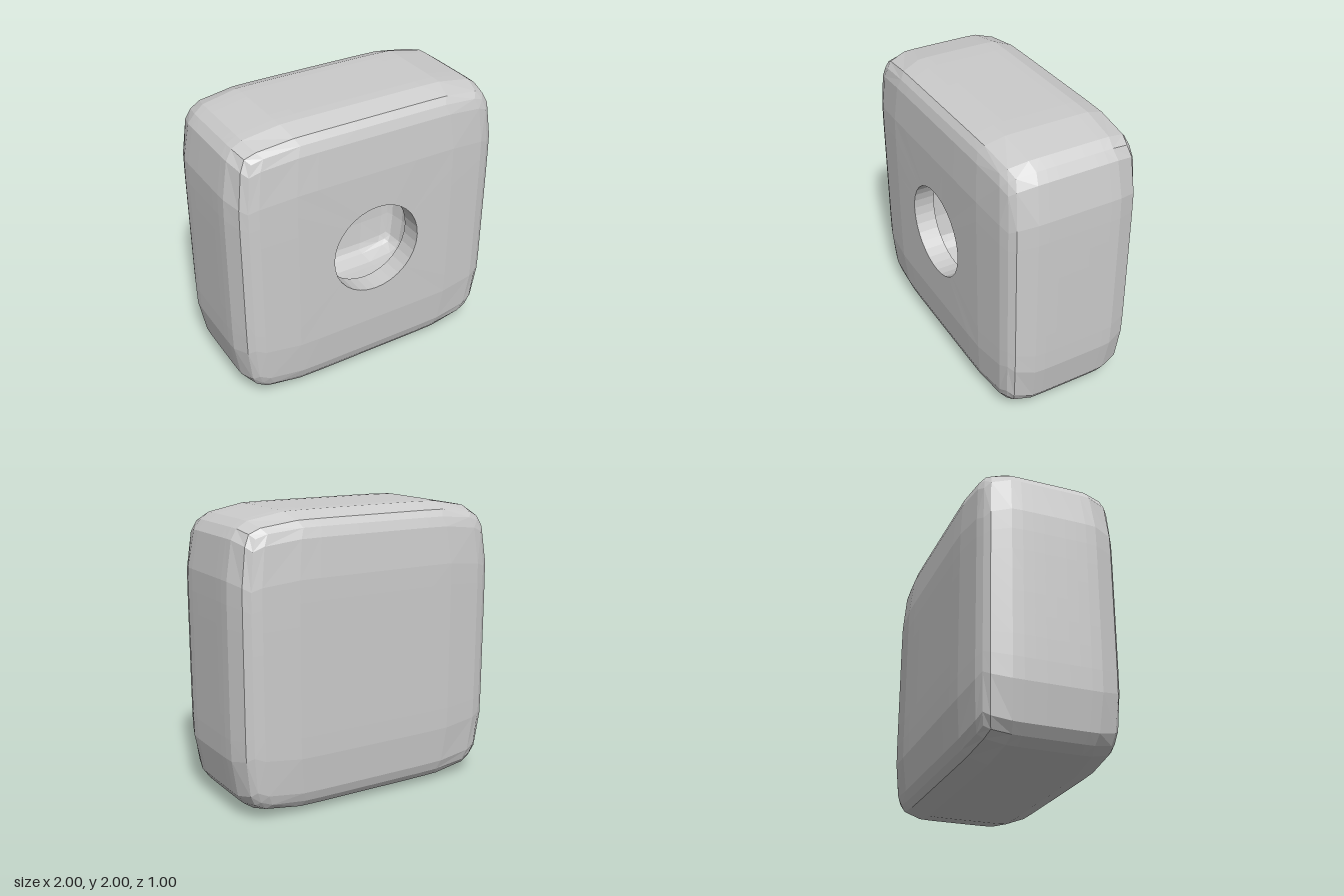
import * as THREE from 'three';

const POWER = 7;                                   // squareness of the rounded block
const HALF = new THREE.Vector3(1, 1, 0.5);         // half width, height, depth
const HOLE_RADIUS = 0.327;
const WALL_SCALE = 0.7;                            // cavity size relative to the block
const SIDES = 32;
const CORE = 0.592;                                // half size of the flat middle of a face

// Grid lines over each face: fine in the middle, tight toward the rounded edges
const NODES = [-1, -0.884];
for (let i = 0; i <= 8; i++) NODES.push(CORE * (i / 4 - 1));
NODES.push(0.884, 1);

// Pull a point of the unit cube onto the rounded block
function onBlock(p) {
  const sum = p.reduce((s, c) => s + Math.abs(c) ** POWER, 0);
  return new THREE.Vector3(...p).multiplyScalar(sum ** (-1 / POWER)).multiply(HALF);
}

// Point of the front surface at a given x, y
function onFront(x, y) {
  const z = (1 - Math.abs(x) ** POWER - Math.abs(y) ** POWER) ** (1 / POWER);
  return new THREE.Vector3(x, y, z * HALF.z);
}

// Square outline of the front middle, counter-clockwise from the lower left
function coreOutline() {
  const pts = [];
  for (let side = 0; side < 4; side++) {
    for (let i = 0; i < SIDES / 4; i++) {
      let x = CORE * (i / 4 - 1), y = -CORE;
      for (let r = 0; r < side; r++) [x, y] = [-y, x];
      pts.push(onBlock([x, y, 1]));
    }
  }
  return pts;
}

// Circular opening in the front, in step with the square outline
function rim(radius) {
  return Array.from({ length: SIDES }, (_, i) => {
    const a = -0.75 * Math.PI + (i / SIDES) * Math.PI * 2;
    return onFront(radius * Math.cos(a), radius * Math.sin(a));
  });
}

function addQuad(out, a, b, c, d, flip) {
  const order = flip ? [a, c, b, a, d, c] : [a, b, c, a, c, d];
  for (const p of order) out.push(p.x, p.y, p.z);
}

function makeMesh(name, positions) {
  const geometry = new THREE.BufferGeometry();
  geometry.setAttribute('position', new THREE.Float32BufferAttribute(positions, 3));
  geometry.computeVertexNormals();
  const mesh = new THREE.Mesh(geometry,
    new THREE.MeshStandardMaterial({ color: 0xcccccc, flatShading: true }));
  mesh.name = name;
  mesh.position.y = 1;
  return mesh;
}

// Rounded block skin with a round opening in its front; flip turns it inward
function makeShell(name, scale, flip) {
  const out = [];
  for (let axis = 0; axis < 3; axis++) {
    for (const sign of [-1, 1]) {
      const at = (i, j) => {
        const p = [0, 0, 0];
        p[axis] = sign;
        p[(axis + 1) % 3] = NODES[i];
        p[(axis + 2) % 3] = sign * NODES[j];
        return onBlock(p);
      };
      const isFront = axis === 2 && sign === 1;
      const inCore = (k) => k >= 2 && k < 10;
      for (let i = 0; i < NODES.length - 1; i++) {
        for (let j = 0; j < NODES.length - 1; j++) {
          if (isFront && inCore(i) && inCore(j)) continue;
          addQuad(out, at(i, j), at(i + 1, j), at(i + 1, j + 1), at(i, j + 1), flip);
        }
      }
    }
  }
  // Fill between the square middle and the round opening
  const outer = coreOutline(), inner = rim(HOLE_RADIUS / scale);
  for (let k = 0; k < SIDES; k++) {
    const n = (k + 1) % SIDES;
    addQuad(out, inner[k], outer[k], outer[n], inner[n], flip);
  }
  return makeMesh(name, out.map((c) => c * scale));
}

// Wall of the round opening, through the thickness of the front
function makeHoleWall() {
  const out = [];
  const front = rim(HOLE_RADIUS);
  const back = rim(HOLE_RADIUS / WALL_SCALE).map((p) => p.multiplyScalar(WALL_SCALE));
  for (let k = 0; k < SIDES; k++) {
    const n = (k + 1) % SIDES;
    addQuad(out, front[k], front[n], back[n], back[k], false);
  }
  return makeMesh('holeWall', out);
}

export function createModel() {
  const model = new THREE.Group();
  model.name = 'hollowBlock';
  model.add(makeShell('outerShell', 1, false));
  model.add(makeShell('innerCavity', WALL_SCALE, true));
  model.add(makeHoleWall());
  return model;
}
